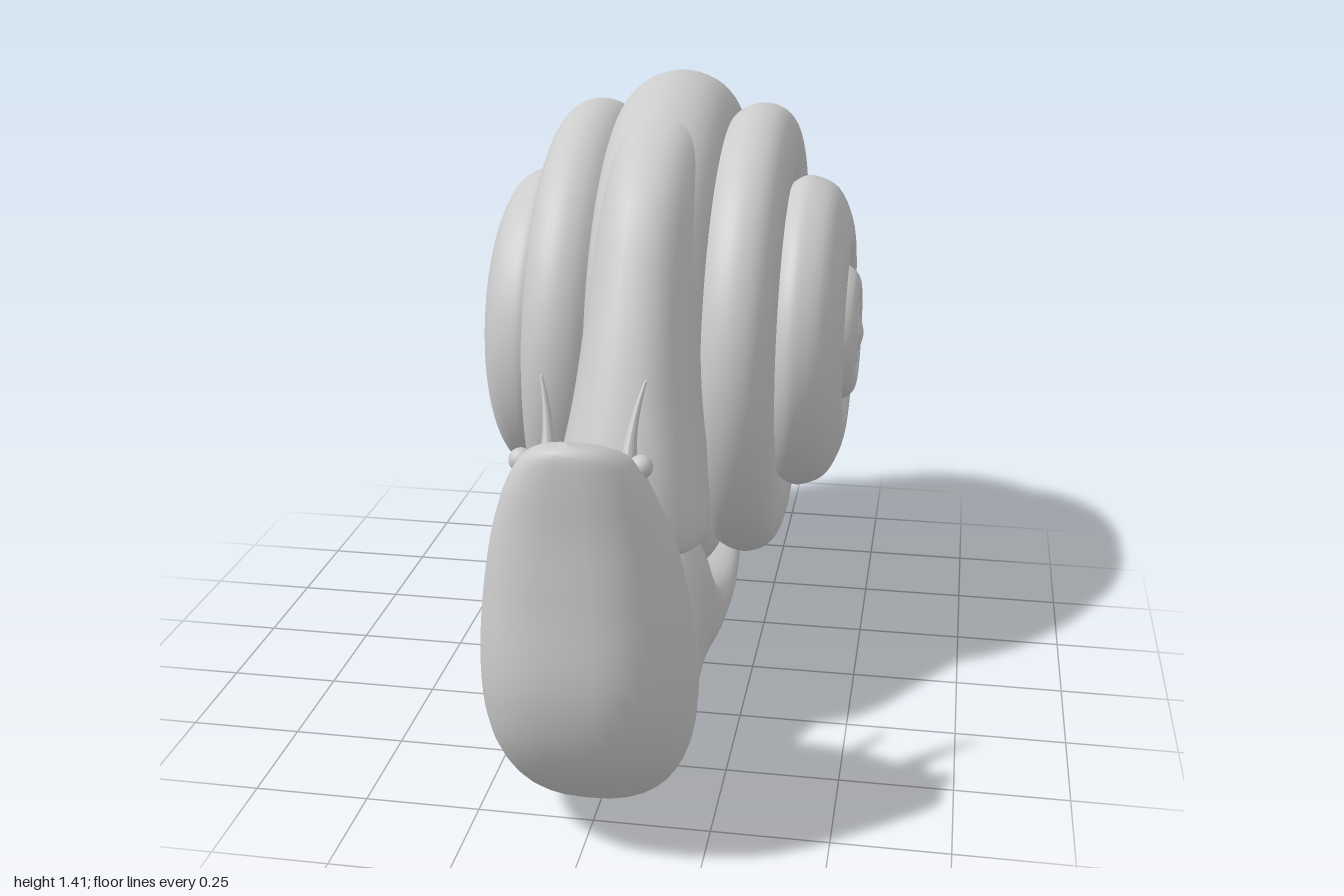
import * as THREE from 'three';

const material = new THREE.MeshStandardMaterial({ color: 0xcccccc });

function addMesh(parent, name, geometry) {
  const mesh = new THREE.Mesh(geometry, material);
  mesh.name = name;
  parent.add(mesh);
  return mesh;
}

// Smooth loft through sections [z1, y1, z2, y2, halfWidth]; each one is a
// superellipse spanning the two points, symmetric in x.
function loft(sections, power, sides = 40, steps = 5) {
  const a = new THREE.CatmullRomCurve3(sections.map(s => new THREE.Vector3(s[4], s[1], s[0])));
  const b = new THREE.CatmullRomCurve3(sections.map(s => new THREE.Vector3(s[4], s[3], s[2])));
  const rows = (sections.length - 1) * steps;
  const soft = v => Math.sign(v) * Math.abs(v) ** (2 / power);
  const pos = [], index = [];
  for (let i = 0; i <= rows; i++) {
    const p = a.getPoint(i / rows), q = b.getPoint(i / rows);
    for (let j = 0; j < sides; j++) {
      const t = j / sides * Math.PI * 2;
      const c = (soft(Math.cos(t)) + 1) / 2;
      pos.push(Math.max(p.x, 0) * soft(Math.sin(t)), p.y + (q.y - p.y) * c, p.z + (q.z - p.z) * c);
      if (i < rows) {
        const k = (j + 1) % sides, r = i * sides, n = r + sides;
        index.push(r + j, r + k, n + j, r + k, n + k, n + j);
      }
    }
  }
  const geometry = new THREE.BufferGeometry();
  geometry.setAttribute('position', new THREE.Float32BufferAttribute(pos, 3));
  geometry.setIndex(index);
  geometry.computeVertexNormals();
  return geometry;
}

// One shell whorl: [radius, x] profile turned about the x axis
function whorl(points, side = 1) {
  const pts = points.map(([r, x]) => new THREE.Vector2(r, x * side));
  if (side < 0) pts.reverse();
  const profile = new THREE.SplineCurve(pts).getPoints(24);
  profile.forEach(p => { p.x = Math.max(p.x, 0); });
  return new THREE.LatheGeometry(profile, 72).rotateZ(-Math.PI / 2);
}

export function createModel() {
  const snail = new THREE.Group();
  snail.name = 'snail';

  // Head, neck, foot and tail in one skin
  addMesh(snail, 'body', loft([
    [0.95, 0.922, 0.94, 0.923, 0.0],
    [0.972, 0.905, 0.87, 0.897, 0.07],
    [0.978, 0.85, 0.785, 0.85, 0.118],
    [0.98, 0.74, 0.725, 0.75, 0.16],
    [0.99, 0.6, 0.64, 0.63, 0.19],
    [1.0, 0.4, 0.55, 0.46, 0.21],
    [0.95, 0.24, 0.505, 0.385, 0.21],
    [0.8, 0.085, 0.475, 0.368, 0.2],
    [0.6, 0.01, 0.45, 0.385, 0.19],
    [0.46, 0.002, 0.438, 0.45, 0.18],
    [0.38, 0, 0.4, 0.475, 0.175],
    [0.2, 0, 0.18, 0.475, 0.17],
    [0.08, 0.005, 0.1, 0.38, 0.17],
    [0, 0.01, 0, 0.27, 0.17],
    [-0.1, 0.015, -0.1, 0.2, 0.17],
    [-0.35, 0.03, -0.35, 0.145, 0.165],
    [-0.6, 0.045, -0.6, 0.137, 0.135],
    [-0.68, 0.065, -0.68, 0.122, 0.085],
    [-0.71, 0.092, -0.71, 0.097, 0.0],
  ], 2.6));

  // Shell: a middle whorl and nested whorls mirrored on both sides
  const shell = new THREE.Group();
  shell.name = 'shell';
  shell.position.set(0, 0.768, -0.36);
  snail.add(shell);
  addMesh(shell, 'middleWhorl', whorl([
    [0.5, -0.14], [0.57, -0.125], [0.62, -0.075], [0.64, 0],
    [0.62, 0.075], [0.57, 0.125], [0.5, 0.14],
  ]));
  const sideWhorls = {
    OuterWhorl: [[0.51, 0.115], [0.55, 0.155], [0.565, 0.205], [0.55, 0.255], [0.505, 0.287], [0.43, 0.295], [0.35, 0.28]],
    InnerWhorl: [[0.36, 0.27], [0.385, 0.305], [0.388, 0.34], [0.36, 0.395], [0.29, 0.43], [0.22, 0.437], [0.16, 0.405]],
    SmallWhorl: [[0.175, 0.4], [0.17, 0.425], [0.15, 0.452], [0.12, 0.462], [0.095, 0.452], [0.08, 0.425]],
    CoreWhorl: [[0.09, 0.42], [0.085, 0.45], [0.07, 0.462], [0.055, 0.455], [0.048, 0.44]],
    CoreTip: [[0.054, 0.44], [0.045, 0.46], [0.02, 0.47], [0, 0.474]],
  };
  for (const [name, side] of [['left', 1], ['right', -1]]) {
    for (const [part, points] of Object.entries(sideWhorls)) {
      addMesh(shell, name + part, whorl(points, side));
    }
  }

  // Shell mouth running down to the neck
  addMesh(snail, 'shellMouth', loft([
    [-0.12, 1.355, -0.5, 1.15, 0.11],
    [0.02, 1.31, -0.42, 1.05, 0.125],
    [0.17, 1.2, -0.3, 0.95, 0.13],
    [0.3, 1.0, -0.18, 0.8, 0.135],
    [0.4, 0.81, -0.04, 0.67, 0.145],
    [0.47, 0.65, 0.06, 0.57, 0.165],
    [0.487, 0.53, 0.12, 0.51, 0.178],
    [0.475, 0.485, 0.14, 0.48, 0.172],
    [0.44, 0.47, 0.16, 0.47, 0.145],
    [0.3, 0.472, 0.29, 0.472, 0],
  ], 2.4));

  // Eyes and curved, tapering feelers
  for (const [name, side] of [['left', 1], ['right', -1]]) {
    addMesh(snail, name + 'Eye', new THREE.SphereGeometry(0.024, 20, 14))
      .position.set(side * 0.118, 0.84, 0.83);

    const feeler = new THREE.CylinderGeometry(0.004, 0.03, 0.165, 14, 10).translate(0, 0.0825, 0);
    const p = feeler.attributes.position;
    for (let i = 0; i < p.count; i++) {
      const t = p.getY(i) / 0.165;
      const thin = 1 - 0.9 * t * (1 - t);
      p.setX(i, p.getX(i) * thin * 0.7 + side * 0.025 * t * t);
      p.setZ(i, p.getZ(i) * thin - 0.065 * t);
    }
    feeler.computeVertexNormals();
    addMesh(snail, name + 'Feeler', feeler).position.set(side * 0.08, 0.805, 0.765);
  }

  return snail;
}
